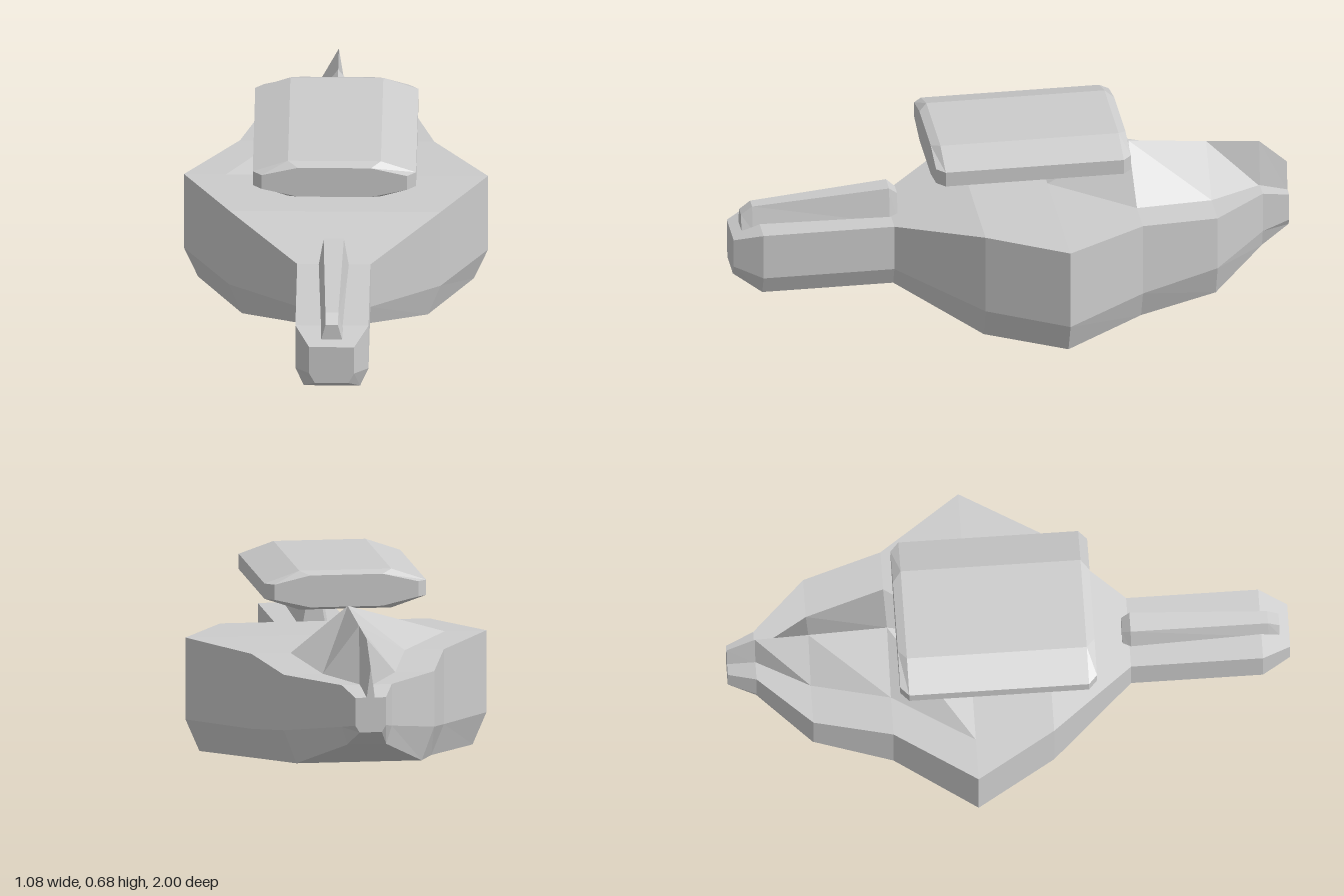
import * as THREE from 'three';

const material = new THREE.MeshStandardMaterial({ color: 0xcccccc, flatShading: true });

// Skins a list of { z, ring } cross-sections, front to back; each ring runs anticlockwise seen from the front.
function loft(name, sections) {
  const n = sections[0].ring.length;
  const last = (sections.length - 1) * n;
  const positions = sections.flatMap(({ z, ring }) => ring.flatMap(([x, y]) => [x, y, z]));
  const index = [];
  for (let s = 0; s < last; s += n) {
    for (let i = 0; i < n; i++) {
      const j = (i + 1) % n;
      const a = s + i, b = s + j, c = s + n + j, d = s + n + i;
      index.push(a, d, b, b, d, c);
    }
  }
  for (let i = 1; i < n - 1; i++) {
    index.push(0, i, i + 1, last, last + i + 1, last + i);
  }
  const indexed = new THREE.BufferGeometry();
  indexed.setAttribute('position', new THREE.Float32BufferAttribute(positions, 3));
  indexed.setIndex(index);
  const geometry = indexed.toNonIndexed();
  geometry.computeVertexNormals();
  const mesh = new THREE.Mesh(geometry, material);
  mesh.name = name;
  return mesh;
}

// Mirrors a right-hand outline (bottom to top) into a closed ring.
const mirror = (half) => [...half, ...half.map(([x, y]) => [-x, y]).reverse()];

export function createModel() {
  const group = new THREE.Group();
  group.name = 'model';

  // Body with its narrow nose: z, half width, top, side crease, bottom, bottom half width
  const body = [
    [1.0, 0.08, 0.315, 0.21, 0.172, 0.06],
    [0.9, 0.13, 0.35, 0.18, 0.11, 0.1],
    [0.43, 0.13, 0.35, 0.18, 0.11, 0.1],
    [0.14, 0.375, 0.41, 0.115, 0, 0.33],
    [-0.14, 0.54, 0.41, 0.115, 0, 0.49],
    [-0.43, 0.345, 0.395, 0.125, 0.015, 0.3],
    [-0.71, 0.27, 0.365, 0.165, 0.045, 0.225],
    [-0.9, 0.09, 0.355, 0.205, 0.14, 0.07],
    [-1.0, 0.055, 0.325, 0.225, 0.2, 0.04],
  ];
  group.add(loft('body', body.map(([z, w, top, mid, bottom, wb]) => ({
    z, ring: mirror([[wb, bottom], [w, mid], [w, top]]),
  }))));

  // Rear ridge rising from the deck: z, half width, base height, crest height
  const ridge = [
    [-0.14, 0.39, 0.41, 0.41],
    [-0.43, 0.205, 0.395, 0.56],
    [-0.71, 0.13, 0.365, 0.535],
    [-0.9, 0.025, 0.35, 0.52],
    [-1.0, 0.015, 0.32, 0.43],
  ];
  group.add(loft('rearRidge', ridge.map(([z, w, base, crest]) => ({
    z, ring: [[-w, base], [w, base], [0, crest]],
  }))));

  // Floating top plate with bevelled ends: z, half width, flat half width, bottom, top
  const plate = [
    [0.3, 0.258, 0.13, 0.552, 0.667],
    [0.27, 0.29, 0.165, 0.54, 0.68],
    [-0.37, 0.29, 0.165, 0.54, 0.68],
    [-0.4, 0.258, 0.13, 0.552, 0.667],
  ];
  group.add(loft('topPlate', plate.map(([z, w, flat, bottom, top]) => ({
    z, ring: mirror([[flat, bottom], [w, 0.582], [w, 0.637], [flat, top]]),
  }))));

  // Tapered rail on the nose: z, base half width, top half width, top
  const rail = [
    [0.965, 0.037, 0.022, 0.385],
    [0.925, 0.042, 0.023, 0.415],
    [0.435, 0.057, 0.036, 0.455],
    [0.405, 0.045, 0.027, 0.43],
  ];
  group.add(loft('noseRail', rail.map(([z, wb, wt, top]) => ({
    z, ring: mirror([[wb, 0.328], [wt, top]]),
  }))));

  return group;
}
